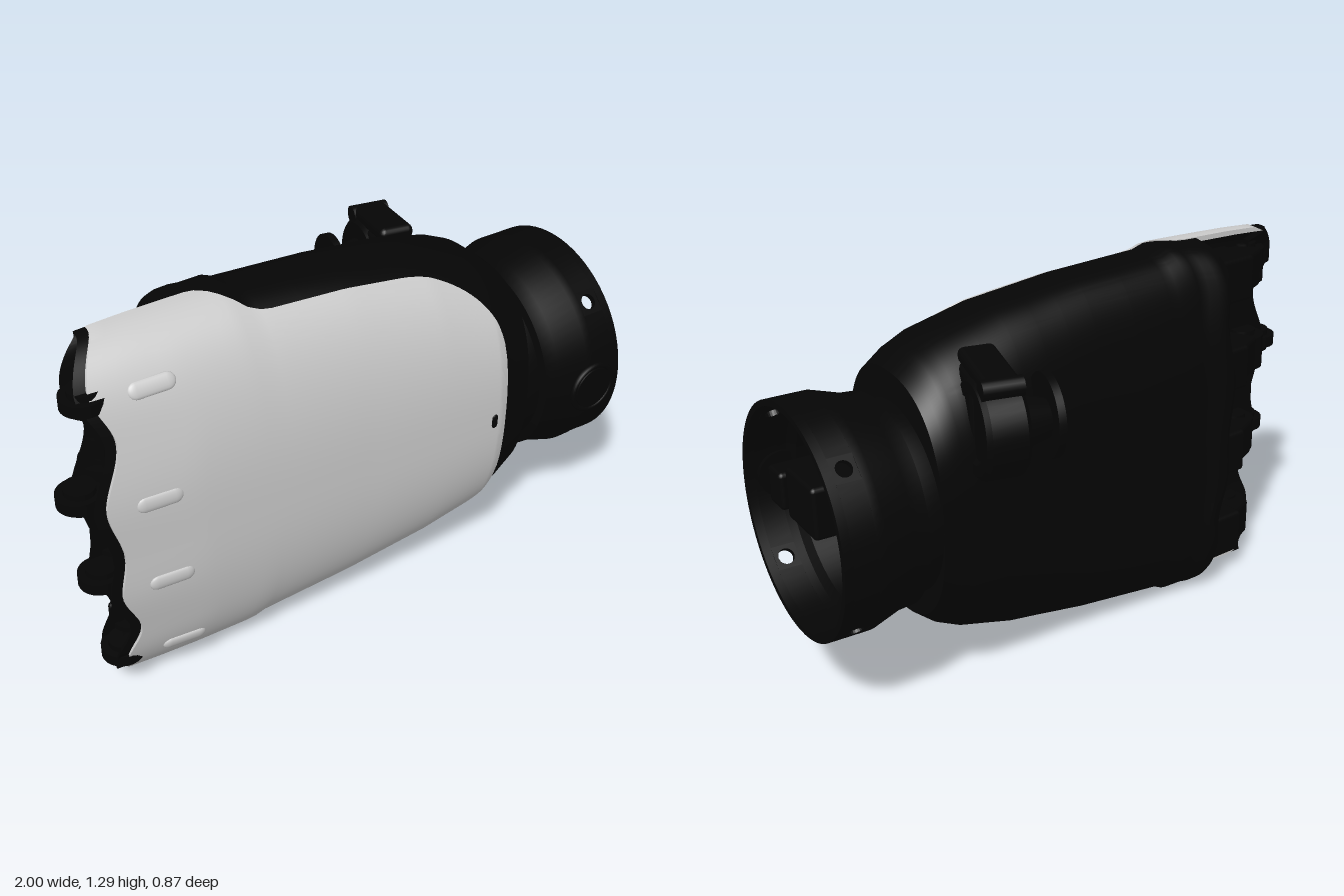
import * as THREE from 'three';
import { toCreasedNormals } from 'three/addons/utils/BufferGeometryUtils.js';
import { RoundedBoxGeometry } from 'three/addons/geometries/RoundedBoxGeometry.js';

const grey = new THREE.MeshStandardMaterial({ color: 0xcccccc, side: THREE.DoubleSide });
const black = new THREE.MeshStandardMaterial({ color: 0x050505, side: THREE.DoubleSide });
const { clamp, lerp, degToRad } = THREE.MathUtils;

// piecewise interpolation through [x, value] pairs
function table(pairs, smooth = false) {
  return (x) => {
    if (x <= pairs[0][0]) return pairs[0][1];
    for (let i = 1; i < pairs.length; i++) {
      const [x0, a] = pairs[i - 1], [x1, b] = pairs[i];
      if (x > x1) continue;
      const k = (x - x0) / (x1 - x0);
      return lerp(a, b, smooth ? k * k * (3 - 2 * k) : k);
    }
    return pairs[pairs.length - 1][1];
  };
}

// outline of the palm along x
const topY = table([[-0.9, 1.28], [-0.75, 1.286], [-0.38, 1.288], [-0.34, 1.273], [0, 1.25], [0.3, 1.207], [0.5, 1.15], [0.58, 1.113], [0.645, 1.06]]);
const bottomY = table([[-0.9, 0.01], [-0.75, 0.004], [-0.38, 0.002], [-0.34, 0.018], [0, 0.045], [0.3, 0.093], [0.5, 0.15], [0.58, 0.19], [0.645, 0.245]]);
const frontZ = table([[-0.9, 0.305], [-0.6, 0.335], [0, 0.36], [0.5, 0.39], [0.56, 0.375], [0.65, 0.36]]);
// beyond the step at the knuckles the back is hollowed into an open pocket
const backZ = table([[-0.9, 0.15], [-0.62, 0.13], [-0.575, 0.1], [-0.56, -0.14], [-0.53, -0.165], [-0.49, -0.17], [-0.46, -0.155], [0, -0.182], [0.2, -0.21], [0.5, -0.265], [0.65, -0.28]]);
// scalloped knuckle edge along y, rounded at both ends
const wave = table([[0, -0.885], [0.17, -0.885], [0.3, -0.845], [0.48, -0.91], [0.62, -0.89], [0.81, -0.935], [1.02, -0.87], [1.18, -0.925], [1.29, -0.925]], true);
const knuckleEdge = (y) => {
  const k = clamp(1 - Math.min(y, 1.29 - y) / 0.14, 0, 1);
  return wave(y) + 0.14 * (1 - Math.sqrt(1 - k * k));
};
const MID_Z = 0.06, POW = 2 / 2.45;

// point on the rounded palm section at x, angle t (0 faces front), pushed out by off
function palmPoint(x, t, off = 0) {
  const c = Math.cos(t), s = Math.sin(t);
  const half = (topY(x) - bottomY(x)) / 2 + off;
  const depth = (c > 0 ? frontZ(x) - MID_Z : MID_Z - backZ(x)) + off;
  // the back is fuller near the knuckles than at the wrist
  const pow = c > 0 ? POW : 2 / lerp(2.9, 2.4, clamp(x + 0.4, 0, 1));
  const y = (topY(x) + bottomY(x)) / 2 + half * Math.sign(s) * Math.abs(s) ** pow;
  const z = MID_Z + depth * Math.sign(c) * Math.abs(c) ** pow;
  const blend = clamp((-0.3 - x) / 0.6, 0, 1);
  return new THREE.Vector3(x + (knuckleEdge(y) + 0.9) * blend, y, z);
}

// skin over closed rings of equal length
function loft(rings, crease = 0.6) {
  const n = rings[0].length, index = [];
  for (let i = 0; i < rings.length - 1; i++)
    for (let j = 0; j < n; j++) {
      const a = i * n + j, b = i * n + (j + 1) % n;
      index.push(a, a + n, b, b, a + n, b + n);
    }
  const geo = new THREE.BufferGeometry().setFromPoints(rings.flat());
  geo.setIndex(index);
  return toCreasedNormals(geo, crease);
}

function add(parent, name, geo, mat, x = 0, y = 0, z = 0) {
  const mesh = new THREE.Mesh(geo, mat);
  mesh.name = name;
  mesh.position.set(x, y, z);
  parent.add(mesh);
  return mesh;
}

function palmBody() {
  const N = 180;
  const ring = (x, scale = 1, dx = 0) => Array.from({ length: N }, (_, j) => {
    const p = palmPoint(x, (j / N) * Math.PI * 2);
    return new THREE.Vector3(p.x + dx, 0.645 + (p.y - 0.645) * scale, 0.2 + (p.z - 0.2) * scale);
  });
  const point = (x, z) => Array.from({ length: N }, () => new THREE.Vector3(x, 0.645, z));
  const rings = [point(-0.82, 0.22), ring(-0.9, 0.93, 0.06), ring(-0.9, 0.97)];
  for (const x of [-0.9, -0.87, -0.84, -0.8, -0.75, -0.7, -0.66, -0.62, -0.59, -0.575, -0.56, -0.545, -0.53, -0.49, -0.46, -0.42, -0.38, -0.34,
    -0.3, -0.15, 0, 0.1, 0.2, 0.3, 0.4, 0.5, 0.53, 0.56, 0.58, 0.61, 0.645]) rings.push(ring(x));
  rings.push(point(0.645, 0.05));
  return loft(rings);
}

// grey cover: angular reach shrinks past the knuckles and rounds off at the wrist
function coverGeometry() {
  const side = table([[-0.9, 90], [-0.51, 90], [-0.27, 67], [1, 67]], true);
  const reach = (x) => degToRad(x < 0.2 ? side(x) : 22 + 45 * Math.sqrt(Math.max(0, 1 - ((x - 0.2) / 0.325) ** 2)));
  const N = 96, START = -0.865, INNER = -0.015;
  const ring = (x, thick) => {
    const outer = [], inner = [], T = reach(x);
    for (let j = 0; j <= N; j++) {
      const t = lerp(-T, T, j / N);
      outer.push(palmPoint(x, t, thick ? 0.003 + 0.008 * Math.cos(t) : INNER));
      inner.unshift(palmPoint(x, t, INNER));
    }
    return [...outer, ...inner];
  };
  const rings = [ring(START, false)];
  for (let i = 0; i <= 50; i++) rings.push(ring(lerp(START, 0.525, 1 - (1 - i / 50) ** 1.6), true));
  rings.push(ring(0.525, false));
  return loft(rings);
}

// lathe turned to run along x
function turned(points, segments = 72, start = 0, length = Math.PI * 2) {
  const geo = new THREE.LatheGeometry(points.map(([x, r]) => new THREE.Vector2(r, x)), segments, start, length);
  return toCreasedNormals(geo.rotateZ(-Math.PI / 2), 0.5);
}

function wrist() {
  const g = new THREE.Group();
  g.name = 'wrist';
  g.position.set(0, 0.645, 0.042);
  const R = 0.383, r = 0.362, A = 0.11, X0 = 0.89, X1 = 0.97;
  add(g, 'wristCup', turned([[0.6, 0], [0.6, 0.31], [0.64, 0.318], [0.7, 0.318], [0.705, 0.348], [0.76, 0.352],
    [0.86, R], [X0, R], [X0, r], [0.86, r], [0.84, 0.33], [0.72, 0.325], [0.72, 0]]), black);
  add(g, 'wristRim', turned([[X1, R], [1, R], [1, r], [X1, r], [X1, R]]), black);
  // drilled band between cup and rim
  const w = R * Math.sin(A);
  const shape = new THREE.Shape([[X0, -w], [X1, -w], [X1, w], [X0, w]].map((p) => new THREE.Vector2(...p)));
  shape.holes.push(new THREE.Path().absarc(0.93, 0, 0.027, 0, Math.PI * 2, true));
  const panel = new THREE.ExtrudeGeometry(shape, { depth: R - r, bevelEnabled: false, curveSegments: 12 });
  panel.translate(0, 0, R * Math.cos(A) - (R - r));
  for (let k = 0; k < 4; k++) {
    const a = Math.PI / 4 + (k * Math.PI) / 2;
    add(g, 'wristBand', turned([[X0, R], [X1, R], [X1, r], [X0, r], [X0, R]], 16, a + A, Math.PI / 2 - 2 * A), black);
    add(g, 'screwHolePanel', panel, black).rotation.x = a;
  }
  // connector inside the cup
  add(g, 'connectorBlock', new RoundedBoxGeometry(0.22, 0.18, 0.21, 2, 0.015), black, 0.82, 0, 0.1);
  add(g, 'connectorPlug', new RoundedBoxGeometry(0.16, 0.13, 0.1, 2, 0.015), black, 0.87, 0, 0.25);
  // round button on the front
  const button = add(g, 'wristButton', new THREE.CylinderGeometry(0.075, 0.08, 0.05, 36), black, 0.885, 0, 0.365);
  button.rotation.x = Math.PI / 2;
  add(g, 'buttonRing', new THREE.TorusGeometry(0.085, 0.01, 8, 40), black, 0.885, 0, 0.38);
  return g;
}

function thumbMount() {
  const g = new THREE.Group();
  g.name = 'thumbMount';
  g.position.set(0.46, 0.95, -0.268);
  g.rotation.y = -0.2;
  add(g, 'motorHousing', turned([[-0.07, 0], [-0.07, 0.145], [-0.055, 0.16], [0.055, 0.16], [0.07, 0.145], [0.07, 0.11], [0.055, 0.1], [0.055, 0]], 40), black);
  add(g, 'motorBase', new RoundedBoxGeometry(0.13, 0.3, 0.24, 2, 0.03), black, 0, 0.01, 0.13);
  add(g, 'motorShaft', turned([[-0.17, 0], [-0.17, 0.06], [-0.07, 0.09], [-0.07, 0]], 32), black);
  add(g, 'shaftDisc', turned([[-0.19, 0], [-0.19, 0.135], [-0.165, 0.135], [-0.165, 0]], 40), black, 0, 0, 0.02);
  // hinge arm over the motor
  const arm = add(g, 'topArm', new RoundedBoxGeometry(0.12, 0.05, 0.26, 2, 0.02), black, 0, 0.168, 0.035);
  arm.rotation.x = -0.1;
  add(g, 'hingePin', new THREE.CylinderGeometry(0.032, 0.032, 0.13, 20).rotateZ(Math.PI / 2), black, 0, 0.15, -0.078);
  return g;
}

// finger joint: barrel, two-part housing behind it and a peg whose tip reaches tipX
function fingerJoint(y, tipX) {
  const g = new THREE.Group();
  g.name = 'fingerJoint';
  g.position.y = y;
  const x = knuckleEdge(y) + 0.12;
  add(g, 'jointBarrel', new THREE.CylinderGeometry(0.075, 0.075, 0.12, 28), black, x, 0, 0.125);
  for (const s of [-1, 1])
    add(g, 'barrelCap', new THREE.CylinderGeometry(0.045, 0.045, 0.02, 20), black, x, s * 0.068, 0.125);
  add(g, 'jointHousing', new RoundedBoxGeometry(0.16, 0.16, 0.18, 2, 0.015), black, -0.635, 0, 0.05).rotation.y = 0.1;
  add(g, 'jointBracket', new RoundedBoxGeometry(0.14, 0.14, 0.14, 2, 0.015), black, -0.73, 0, 0.08).rotation.y = 0.5;
  add(g, 'jointPeg', new THREE.CylinderGeometry(0.07, 0.07, 0.04, 24), black, tipX + 0.07, 0, 0.19);
  add(g, 'pegCollar', new THREE.CylinderGeometry(0.05, 0.05, 0.08, 24), black, tipX + 0.075, 0, 0.19);
  return g;
}

export function createModel() {
  const model = new THREE.Group();
  model.name = 'mechanicalPalm';
  add(model, 'palmBody', palmBody(), black);
  add(model, 'handCover', coverGeometry(), grey);
  model.add(wrist(), thumbMount());
  for (const [y, tipX] of [[0.155, -0.91], [0.485, -0.96], [0.81, -1], [1.14, -0.955]]) model.add(fingerJoint(y, tipX));

  // raised knuckle marks lying on the cover
  for (const [x, y] of [[-0.66, 0.165], [-0.715, 0.495], [-0.735, 0.805], [-0.7, 1.155]]) {
    const v = (y - 0.645) / 0.645;
    const t = Math.asin(Math.sign(v) * Math.abs(v) ** (1 / POW));
    const p = palmPoint(x, t, 0.01), q = palmPoint(x, t + 0.05, 0.01);
    const mark = add(model, 'knuckleMark', new THREE.CapsuleGeometry(0.027, 0.095, 6, 16).rotateZ(Math.PI / 2).scale(1, 1, 0.4), grey, x, y, p.z);
    mark.rotation.x = Math.atan2(q.z - p.z, q.y - p.y);
    mark.rotation.y = -0.08;
  }
  // small slot near the wrist end of the cover
  add(model, 'coverSlot', new THREE.CapsuleGeometry(0.012, 0.03, 4, 12).scale(1, 1, 0.5), black, 0.475, 0.648, 0.398);
  return model;
}
